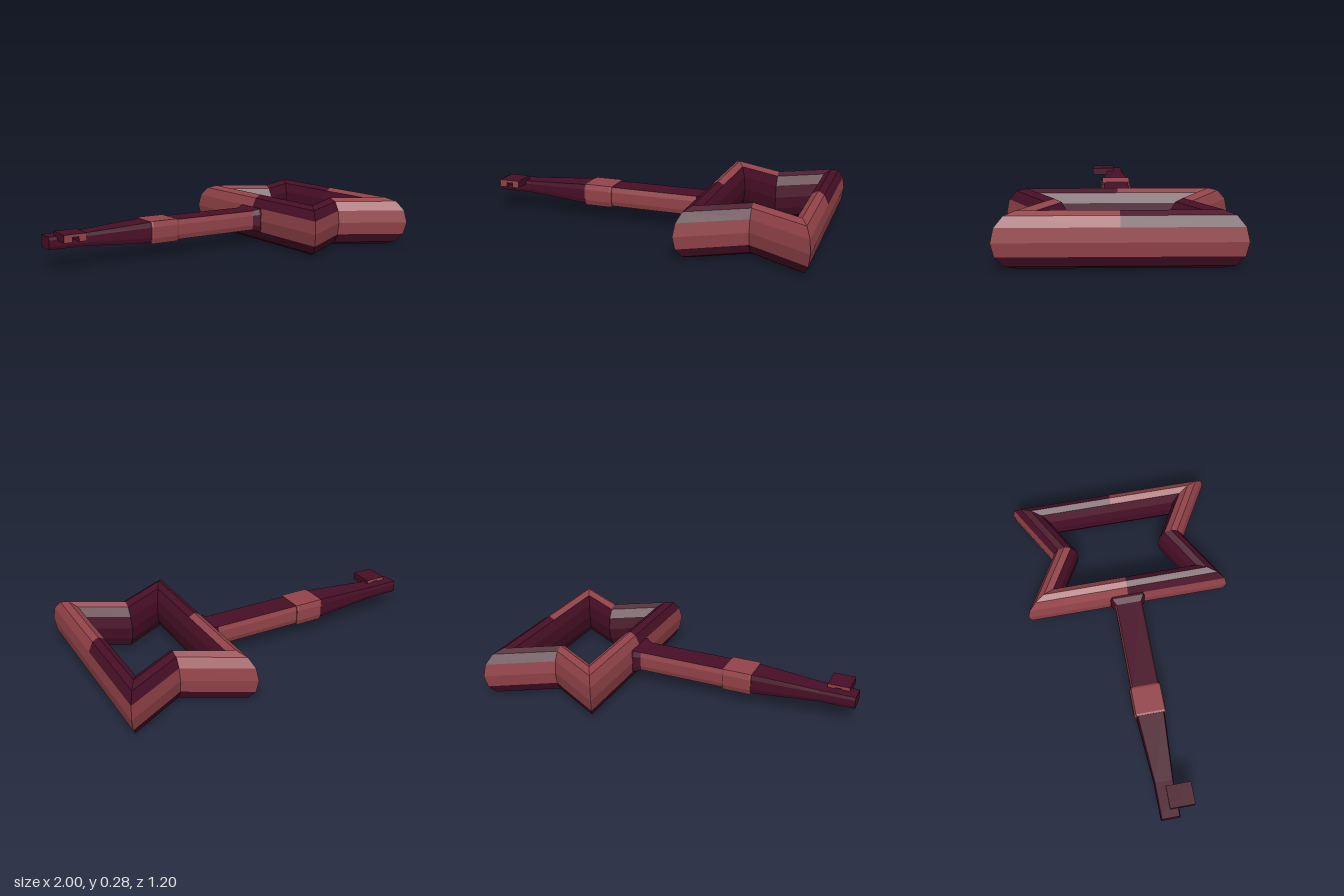
import * as THREE from 'three';

const roseRed = new THREE.MeshStandardMaterial({ color: 0x94444a });
roseRed.name = 'roseRed';
const darkWine = new THREE.MeshStandardMaterial({ color: 0x480f26 });
darkWine.name = 'darkWine';
const LIGHT = 0, DARK = 1;

// Flat-shaded skin over rings of points; paint(segment, side) picks the colour
function loft(name, rings, paint, closed) {
  const faces = [[], []];
  const tri = (c, ...pts) => pts.forEach((p) => faces[c].push(...p));
  const n = rings[0].length;
  const segments = closed ? rings.length : rings.length - 1;
  for (let i = 0; i < segments; i++) {
    const r = rings[i], s = rings[(i + 1) % rings.length];
    for (let j = 0; j < n; j++) {
      const k = (j + 1) % n, c = paint(i, j);
      tri(c, r[j], r[k], s[k]);
      tri(c, r[j], s[k], s[j]);
    }
  }
  if (!closed) {
    const a = rings[0], b = rings[rings.length - 1];
    for (let j = 1; j < n - 1; j++) {
      tri(paint(0, 0), a[0], a[j + 1], a[j]);
      tri(paint(segments - 1, 0), b[0], b[j], b[j + 1]);
    }
  }
  const geo = new THREE.BufferGeometry();
  geo.setAttribute('position', new THREE.Float32BufferAttribute([...faces[0], ...faces[1]], 3));
  geo.addGroup(0, faces[0].length / 3, LIGHT);
  geo.addGroup(faces[0].length / 3, faces[1].length / 3, DARK);
  geo.computeVertexNormals();
  const mesh = new THREE.Mesh(geo, [roseRed, darkWine]);
  mesh.name = name;
  return mesh;
}

// Notched bow: twelve-sided oval section mitred around the outline
function makeBow() {
  const outer = [[1, 0], [1, 0.6], [0.652, 0.4], [0.305, 0.6], [0.305, 0], [0.305, -0.6], [0.652, -0.4], [1, -0.6]];
  const inner = [[0.865, 0], [0.865, 0.367], [0.652, 0.245], [0.44, 0.367], [0.44, 0], [0.44, -0.367], [0.652, -0.245], [0.865, -0.367]];
  const rings = outer.map(([ox, oz], i) => {
    const [ix, iz] = inner[i];
    return Array.from({ length: 12 }, (_, j) => {
      const a = (j * Math.PI) / 6, t = (1 + Math.cos(a)) / 2;
      return [ix + (ox - ix) * t, 0.14 + 0.14 * Math.sin(a), iz + (oz - iz) * t];
    });
  });
  // Outer rim is light all round; the top is light in two opposite quarters
  const paint = (i, j) => {
    if (j === 0 || j === 11) return LIGHT;
    return j <= 3 && i % 4 < 2 ? LIGHT : DARK;
  };
  return loft('bow', rings, paint, true);
}

// Eight-sided bar along x; stations are [x, half height, half depth]
const section = [[1, -0.9], [1, 0.9], [0.5, 1], [-0.5, 1], [-1, 0.9], [-1, -0.9], [-0.5, -1], [0.5, -1]];
function bar(name, stations, paint) {
  const rings = stations.map(([x, h, d]) => section.map(([y, z]) => [x, 0.142 + y * h, -0.004 + z * d]));
  return loft(name, rings, paint, false);
}

// Bit: two teeth under a bridge, light on the end face
function makeBit() {
  const s = new THREE.Shape();
  [[-0.955, 0.155], [-0.91, 0.155], [-0.91, 0.182], [-0.872, 0.182], [-0.872, 0.155],
    [-0.83, 0.155], [-0.83, 0.197], [-0.955, 0.197]]
    .forEach(([x, y], i) => (i ? s.lineTo(x, y) : s.moveTo(x, y)));
  const geo = new THREE.ExtrudeGeometry(s, { depth: 0.14, bevelEnabled: false });
  const mesh = new THREE.Mesh(geo, [roseRed, darkWine]);
  mesh.name = 'bit';
  return mesh;
}

export function createModel() {
  const key = new THREE.Group();
  key.name = 'key';
  key.add(
    makeBow(),
    bar('shaft', [[-0.26, 0.057, 0.081], [0.275, 0.057, 0.081]], (i, j) => (j % 4 === 0 ? DARK : LIGHT)),
    bar('shaftFlare', [[0.265, 0.057, 0.081], [0.3, 0.068, 0.102], [0.34, 0.068, 0.102]], () => DARK),
    bar('collar', [[-0.42, 0.06, 0.088], [-0.41, 0.063, 0.092], [-0.26, 0.063, 0.092], [-0.25, 0.06, 0.088]], () => LIGHT),
    bar('taperedTip', [[-1, 0.034, 0.054], [-0.8, 0.035, 0.054], [-0.415, 0.058, 0.081]], () => DARK),
    makeBit(),
  );
  return key;
}
